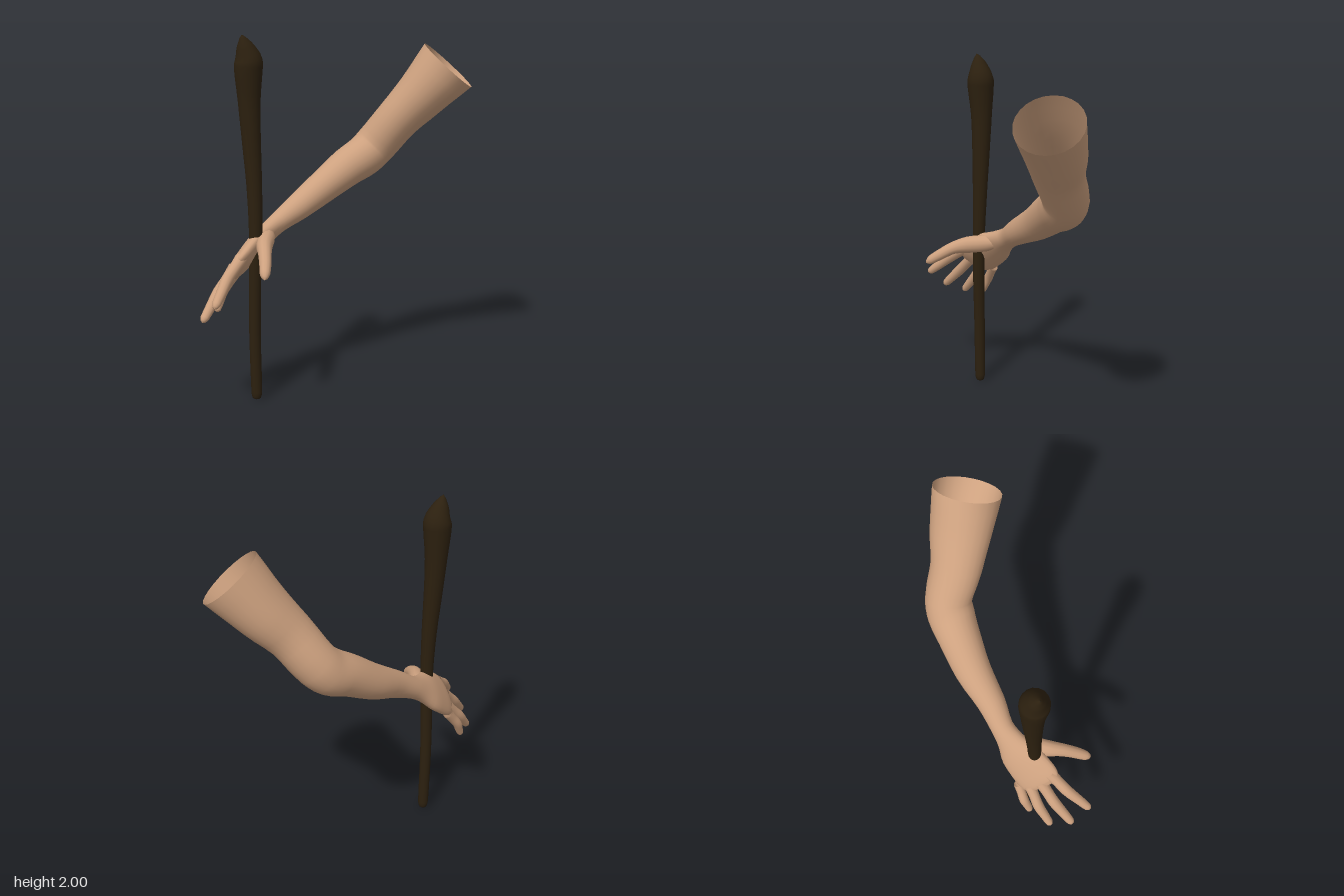
import * as THREE from 'three';

// Smooth tube of elliptical sections; each row is [x, y, z, halfWidth, halfThickness]
function loft(rows, sides, steps) {
  const across = new THREE.Vector3(-0.42, -0.57, -0.71);
  const path = new THREE.CatmullRomCurve3(rows.map(r => new THREE.Vector3(r[0], r[1], r[2])));
  const size = new THREE.CatmullRomCurve3(
    rows.map(r => new THREE.Vector3(r[3], r[4], 0)), false, 'catmullrom', 0.4);
  const count = (rows.length - 1) * steps;
  const pos = [], index = [];
  for (let i = 0; i <= count; i++) {
    const c = path.getPoint(i / count), s = size.getPoint(i / count);
    const t = path.getTangent(i / count);
    const u = across.clone().addScaledVector(t, -across.dot(t)).normalize();
    const w = new THREE.Vector3().crossVectors(t, u);
    for (let j = 0; j < sides; j++) {
      const a = j / sides * Math.PI * 2;
      const p = c.clone()
        .addScaledVector(u, Math.cos(a) * Math.max(s.x, 0.001))
        .addScaledVector(w, Math.sin(a) * Math.max(s.y, 0.001));
      pos.push(p.x, p.y, p.z);
      if (i < count) {
        const k = i * sides, n = (j + 1) % sides;
        index.push(k + j, k + n, k + sides + j, k + n, k + sides + n, k + sides + j);
      }
    }
  }
  const g = new THREE.BufferGeometry();
  g.setAttribute('position', new THREE.Float32BufferAttribute(pos, 3));
  g.setIndex(index);
  g.computeVertexNormals();
  return g;
}

// Finger rows from base, knuckle and tip, with a rounded end
function fingerRows(base, knuckle, tip, r) {
  const mix = (a, b, t) => a.map((v, i) => v + (b[i] - v) * t);
  return [
    [...base, r * 1.15, r * 1.15],
    [...mix(base, knuckle, 0.5), r, r],
    [...knuckle, r * 1.02, r * 1.02],
    [...mix(knuckle, tip, 0.5), r * 0.88, r * 0.88],
    [...mix(knuckle, tip, 0.86), r * 0.74, r * 0.74],
    [...mix(knuckle, tip, 0.96), r * 0.45, r * 0.45],
    [...tip, 0.001, 0.001],
  ];
}

export function createModel() {
  const skin = new THREE.MeshStandardMaterial({ color: 0xcda17f, side: THREE.DoubleSide });
  skin.name = 'skin';
  const wood = new THREE.MeshStandardMaterial({ color: 0x2c200f });
  wood.name = 'darkWood';

  const model = new THREE.Group();
  model.name = 'armWithClub';
  const add = (name, geometry, material) => {
    const mesh = new THREE.Mesh(geometry, material);
    mesh.name = name;
    model.add(mesh);
  };

  // Open upper arm, elbow, forearm, wrist and palm as one skin
  add('armAndPalm', loft([
    [0.49, 1.805, -0.503, 0.178, 0.18],
    [0.34, 1.635, -0.478, 0.162, 0.145],
    [0.215, 1.5, -0.448, 0.138, 0.125],
    [0.085, 1.345, -0.44, 0.125, 0.122],
    [0.03, 1.285, -0.4, 0.128, 0.118],
    [-0.045, 1.23, -0.32, 0.115, 0.11],
    [-0.155, 1.13, -0.19, 0.1, 0.092],
    [-0.25, 1.04, -0.04, 0.078, 0.075],
    [-0.33, 0.97, 0.06, 0.065, 0.057],
    [-0.37, 0.925, 0.13, 0.082, 0.052],
    [-0.41, 0.87, 0.21, 0.122, 0.052],
    [-0.45, 0.8, 0.31, 0.135, 0.046],
    [-0.472, 0.765, 0.36, 0.125, 0.036],
    [-0.482, 0.75, 0.385, 0.08, 0.02],
    [-0.486, 0.745, 0.393, 0.001, 0.001],
  ], 24, 3), skin);

  // Four spread fingers
  const fingers = {
    indexFinger: [[-0.425, 0.835, 0.39], [-0.455, 0.755, 0.51], [-0.467, 0.635, 0.665], 0.031],
    middleFinger: [[-0.475, 0.775, 0.36], [-0.525, 0.665, 0.47], [-0.563, 0.535, 0.605], 0.031],
    ringFinger: [[-0.505, 0.725, 0.31], [-0.57, 0.615, 0.395], [-0.613, 0.495, 0.495], 0.029],
    littleFinger: [[-0.52, 0.71, 0.25], [-0.57, 0.615, 0.305], [-0.59, 0.515, 0.355], 0.026],
  };
  for (const [name, f] of Object.entries(fingers)) {
    add(name, loft(fingerRows(...f), 12, 3), skin);
  }

  // Thumb with its fleshy root
  add('thumb', loft([
    [-0.365, 0.925, 0.13, 0.03, 0.03],
    [-0.345, 0.91, 0.22, 0.05, 0.046],
    [-0.32, 0.895, 0.32, 0.05, 0.044],
    [-0.288, 0.875, 0.4, 0.037, 0.036],
    [-0.26, 0.835, 0.47, 0.032, 0.032],
    [-0.242, 0.8, 0.525, 0.027, 0.027],
    [-0.235, 0.785, 0.545, 0.016, 0.016],
    [-0.232, 0.777, 0.555, 0.001, 0.001],
  ], 12, 3), skin);

  // Upright club, thick at the pointed top
  const clubRows = [
    [-0.393, 0.005, 0.28, 0.001], [-0.393, 0.015, 0.28, 0.022], [-0.393, 0.05, 0.28, 0.03],
    [-0.396, 0.4, 0.284, 0.032], [-0.39, 0.7, 0.285, 0.034], [-0.384, 0.95, 0.28, 0.036],
    [-0.389, 1.2, 0.274, 0.042], [-0.402, 1.45, 0.272, 0.051], [-0.41, 1.65, 0.272, 0.06],
    [-0.41, 1.82, 0.276, 0.075], [-0.408, 1.87, 0.277, 0.073], [-0.42, 1.94, 0.292, 0.046],
    [-0.428, 1.985, 0.305, 0.017], [-0.43, 2.0, 0.31, 0.001],
  ];
  add('club', loft(clubRows.map(r => [...r, r[3]]), 16, 3), wood);

  return model;
}
